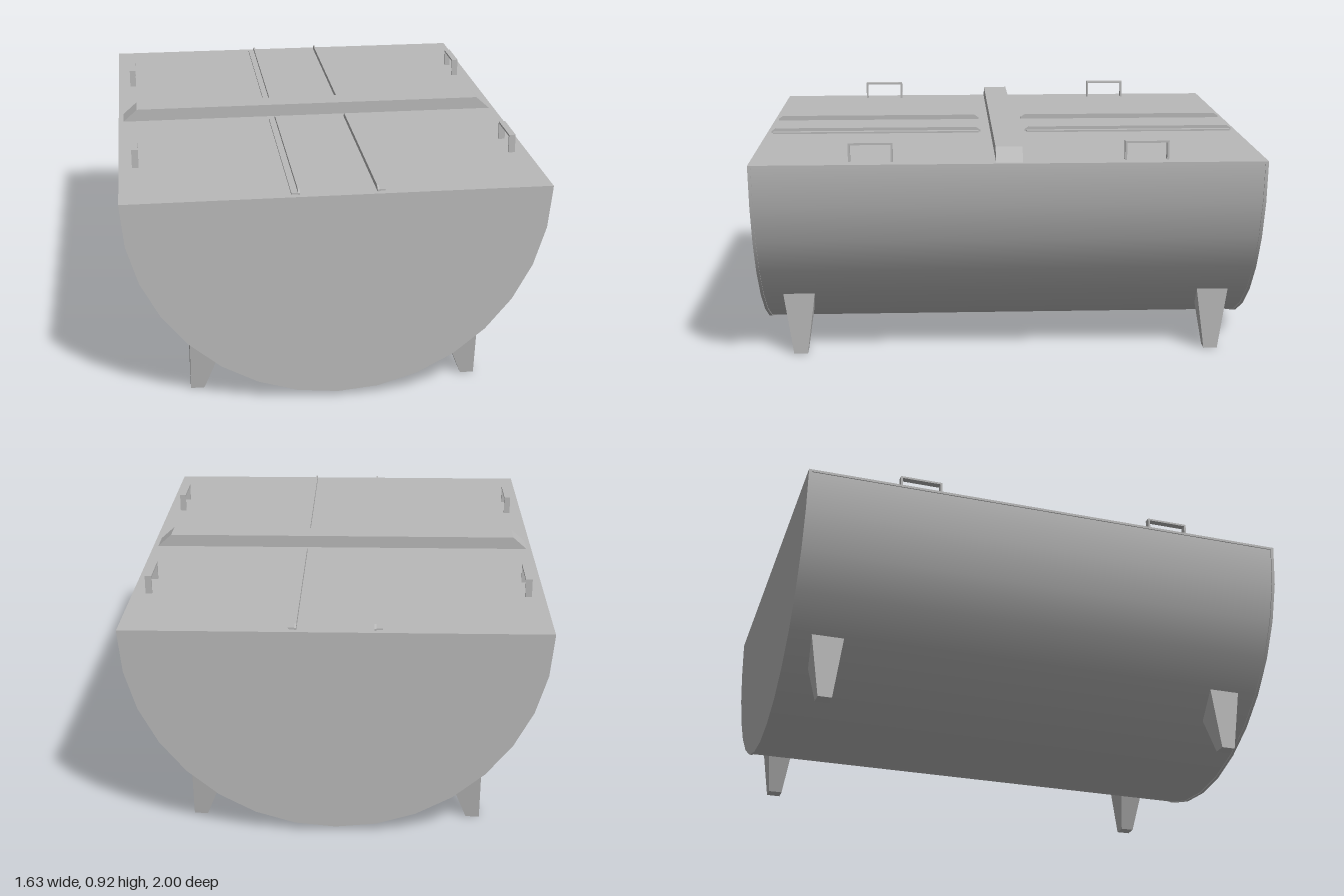
import * as THREE from 'three';

export function createModel() {
  const model = new THREE.Group();
  model.name = 'halfDrumTank';
  const steel = new THREE.MeshStandardMaterial({ color: 0xb9b9b9 });
  steel.name = 'grey steel';

  const add = (name, geometry, x = 0, y = 0, z = 0, parent = model) => {
    const mesh = new THREE.Mesh(geometry, steel);
    mesh.name = name;
    mesh.position.set(x, y, z);
    parent.add(mesh);
    return mesh;
  };
  const box = (w, h, d) => new THREE.BoxGeometry(w, h, d);

  // Lower half of a cylinder lying along z
  const halfDrum = (r, length, open) =>
    new THREE.CylinderGeometry(r, r, length, 16, 1, open, -Math.PI / 2, Math.PI).rotateX(Math.PI / 2);

  // Profile in x/y or z/y, extruded and centred
  const extrude = (points, depth) =>
    new THREE.ExtrudeGeometry(new THREE.Shape(points.map(([x, y]) => new THREE.Vector2(x, y))),
      { depth, bevelEnabled: false }).translate(0, 0, -depth / 2);

  // Trough body with slightly proud end plates
  const rimY = 0.832;
  add('shell', halfDrum(0.809, 1.98, true), 0, rimY, 0);
  for (const s of [1, -1]) add('endPlate', halfDrum(0.813, 0.012, false), 0, rimY, s * 0.994);

  // Flat lid and the cross beam with sloping ends
  add('lid', box(1.626, 0.01, 2), 0, 0.837, 0);
  add('crossBeam', extrude([[-0.795, 0.84], [0.795, 0.84], [0.735, 0.893], [-0.735, 0.893]], 0.104));

  // Angle rails: upright fin with tapered ends and a narrow foot
  const fin = extrude([[-0.443, 0.84], [0.443, 0.84], [0.443, 0.85], [0.425, 0.862],
    [-0.425, 0.862], [-0.443, 0.85]], 0.007).rotateY(Math.PI / 2);
  for (const sx of [1, -1]) for (const sz of [1, -1]) {
    const rail = new THREE.Group();
    rail.name = 'lidRail';
    add('railFin', fin, sx * 0.149, 0, sz * 0.538, rail);
    add('railFoot', box(0.026, 0.007, 0.87), sx * 0.164, 0.8455, sz * 0.538, rail);
    model.add(rail);

    // Strap handle
    const handle = new THREE.Group();
    handle.name = 'handle';
    add('handleGrip', box(0.026, 0.008, 0.172), sx * 0.748, 0.912, sz * 0.535, handle);
    for (const e of [1, -1])
      add('handlePost', box(0.026, 0.07, 0.008), sx * 0.748, 0.874, sz * 0.535 + e * 0.082, handle);
    model.add(handle);

    // Tapered leg: vertical outer face, spreading inwards and sideways upwards
    const legGeo = box(1, 1, 1).toNonIndexed();
    const p = legGeo.attributes.position;
    for (let i = 0; i < p.count; i++) {
      const top = p.getY(i) > 0;
      const outer = p.getX(i) * sx > 0;
      p.setXYZ(i, sx * (outer ? 0.568 : top ? 0.413 : 0.515), top ? 0.258 : 0,
        sz * 0.846 + Math.sign(p.getZ(i)) * (top ? 0.064 : 0.028));
    }
    legGeo.computeVertexNormals();
    add('leg', legGeo);
  }
  return model;
}
